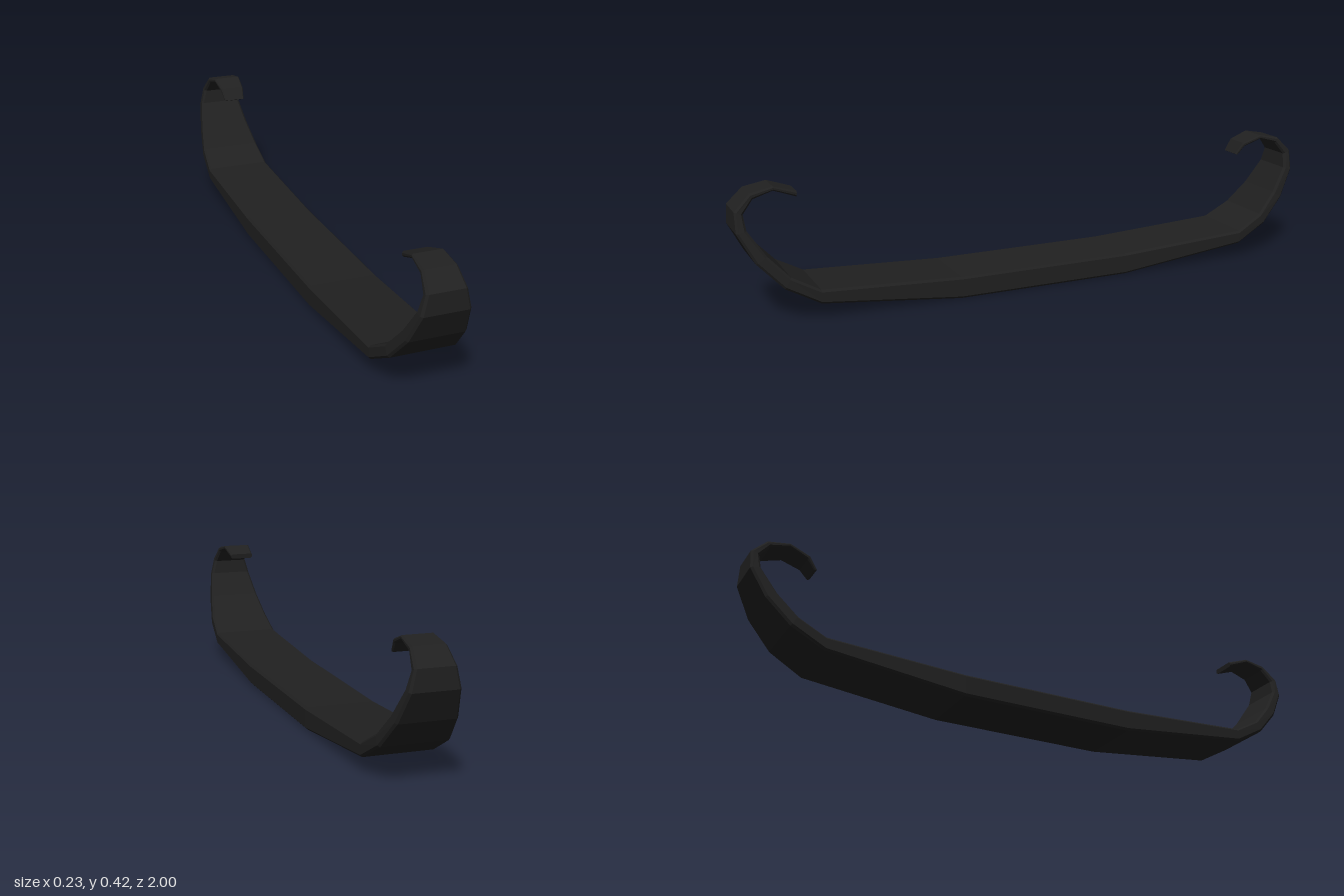
import * as THREE from 'three';

// Stations along one half: outer z, outer y, inner z, inner y, half width
const HALF = [
  [0.30, 0.00, 0.30, 0.072, 0.117],
  [0.76, 0.05, 0.76, 0.095, 0.116],
  [0.87, 0.11, 0.85, 0.145, 0.109],
  [0.95, 0.195, 0.915, 0.215, 0.093],
  [1.00, 0.29, 0.968, 0.297, 0.076],
  [1.00, 0.355, 0.973, 0.345, 0.062],
  [0.95, 0.405, 0.94, 0.387, 0.054],
  [0.877, 0.419, 0.877, 0.406, 0.049],
];
const FRONT_TIP = [[0.803, 0.395, 0.805, 0.378, 0.042]];
const BACK_TIP = [[0.81, 0.396, 0.817, 0.383, 0.043], [0.783, 0.357, 0.792, 0.353, 0.037]];

// Rectangular cross-section with small chamfered corners
function section([oz, oy, iz, iy, w]) {
  const thickness = Math.hypot(iz - oz, iy - oy);
  const b = Math.min(0.007, thickness * 0.3);
  const t = b / thickness;
  return [
    [-w + b, 0], [w - b, 0], [w, t], [w, 1 - t],
    [w - b, 1], [-w + b, 1], [-w, 1 - t], [-w, t],
  ].map(([x, k]) => [x, oy + (iy - oy) * k, oz + (iz - oz) * k]);
}

// Skin consecutive sections and cap both ends
function loft(sections) {
  const pos = [];
  const tri = (a, b, c) => pos.push(...a, ...b, ...c);
  const n = sections[0].length;
  for (let i = 0; i < sections.length - 1; i++) {
    const s = sections[i], e = sections[i + 1];
    for (let j = 0; j < n; j++) {
      const k = (j + 1) % n;
      tri(s[j], s[k], e[k]);
      tri(s[j], e[k], e[j]);
    }
  }
  const first = sections[0], last = sections[sections.length - 1];
  for (let j = 1; j < n - 1; j++) {
    tri(first[0], first[j + 1], first[j]);
    tri(last[0], last[j], last[j + 1]);
  }
  const geo = new THREE.BufferGeometry();
  geo.setAttribute('position', new THREE.Float32BufferAttribute(pos, 3));
  geo.computeVertexNormals();
  return geo;
}

export function createModel() {
  const group = new THREE.Group();
  group.name = 'curledBand';
  const material = new THREE.MeshStandardMaterial({ color: 0x202020, flatShading: true });

  // One continuous strip, from the back curl through the flat base to the front curl
  const back = [...HALF, ...BACK_TIP].reverse()
    .map(([oz, oy, iz, iy, w]) => [-oz, oy, -iz, iy, w]);
  const stations = [...back, ...HALF, ...FRONT_TIP];
  const band = new THREE.Mesh(loft(stations.map(section)), material);
  band.name = 'band';
  group.add(band);
  return group;
}
